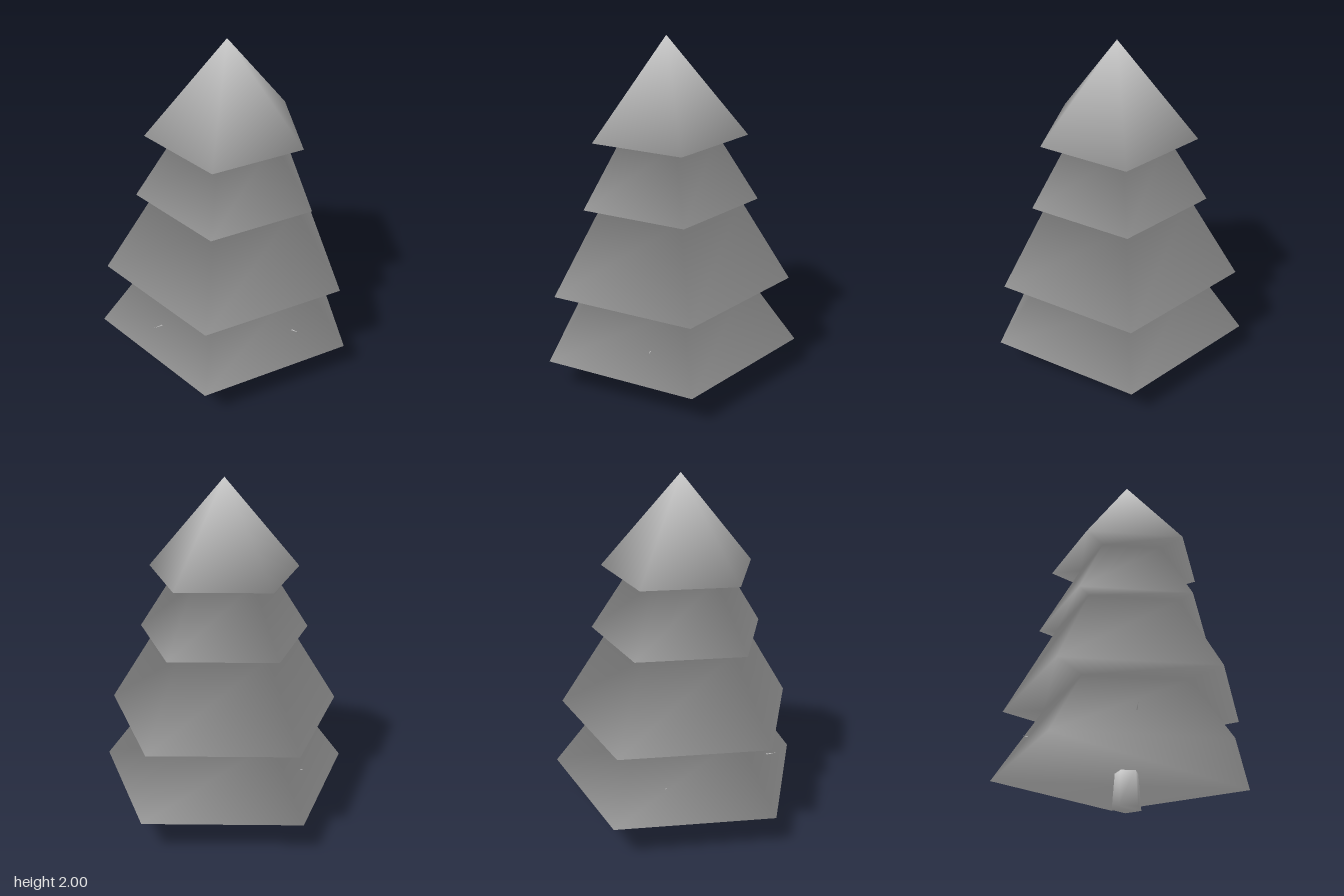
import * as THREE from 'three';

const SIDES = 5;
const CENTRE_Z = 0.073; // axis sits forward so the pentagon's bounds are centred

// Closed, smooth solid from polygons; normals are weighted by corner angle
function smoothSolid(points, faces) {
  const normals = points.map(() => new THREE.Vector3());
  const index = [];
  for (const face of faces) {
    const corner = (i) => points[face[(i + face.length) % face.length]];
    const edge = (i, j) => corner(j).clone().sub(corner(i));
    const normal = edge(0, 1).cross(edge(0, 2)).normalize();
    face.forEach((v, i) => {
      normals[v].addScaledVector(normal, edge(i, i + 1).angleTo(edge(i, i - 1)));
      if (i > 1) index.push(face[0], face[i - 1], v);
    });
  }
  const geometry = new THREE.BufferGeometry().setFromPoints(points);
  const flat = normals.flatMap((n) => n.normalize().toArray());
  geometry.setAttribute('normal', new THREE.Float32BufferAttribute(flat, 3));
  geometry.setIndex(index);
  return geometry;
}

// Pentagonal rings stacked from [radius, height] pairs, one corner to the back;
// a last radius of 0 makes a tip, otherwise the top is capped
function pentagonStack(profile) {
  const points = [];
  const faces = [];
  const at = (k, j) => k * SIDES + (profile[k][0] === 0 ? 0 : j % SIDES);
  const ring = (k) => Array.from({ length: SIDES }, (_, j) => at(k, j));

  profile.forEach(([r, y], k) => {
    for (let j = 0; j < (r === 0 ? 1 : SIDES); j++) {
      const a = Math.PI + (j / SIDES) * Math.PI * 2;
      points.push(new THREE.Vector3(r * Math.sin(a), y, r * Math.cos(a)));
    }
    if (k === 0) return;
    for (let j = 0; j < SIDES; j++) {
      faces.push([...new Set([at(k - 1, j), at(k - 1, j + 1), at(k, j + 1), at(k, j)])]);
    }
  });

  faces.push(ring(0).reverse());
  const last = profile.length - 1;
  if (profile[last][0] > 0) faces.push(ring(last));
  return smoothSolid(points, faces);
}

export function createModel() {
  const tree = new THREE.Group();
  tree.name = 'pineTree';
  const material = new THREE.MeshStandardMaterial({ color: 0xcccccc });

  const add = (name, geometry) => {
    const mesh = new THREE.Mesh(geometry, material);
    mesh.name = name;
    tree.add(mesh);
    return mesh;
  };

  // Trunk, tapering upwards into the foliage
  add('trunk', pentagonStack([[0.083, 0], [0.066, 0.21]])).position.z = CENTRE_Z;

  // Foliage: four stacked skirts in one continuous skin
  add('foliage', pentagonStack([
    [0.763, 0.197],
    [0.475, 0.588], [0.713, 0.597],
    [0.42, 1.073], [0.518, 1.082],
    [0.28, 1.458], [0.454, 1.458],
    [0, 2],
  ])).position.z = CENTRE_Z;

  // Tiny twigs poking out of the lowest skirt
  const twig = (name, base, tip) => {
    const from = new THREE.Vector3(...base);
    const to = new THREE.Vector3(...tip);
    const dir = to.clone().sub(from);
    const mesh = add(name, new THREE.ConeGeometry(0.006, dir.length(), 5));
    mesh.position.copy(from).add(to).multiplyScalar(0.5);
    mesh.quaternion.setFromUnitVectors(new THREE.Vector3(0, 1, 0), dir.normalize());
  };
  twig('frontTwig', [-0.015, 0.35, 0.56], [-0.015, 0.375, 0.65]);
  twig('leftTwig', [0.51, 0.355, 0.09], [0.59, 0.375, 0.09]);
  twig('rightTwig', [-0.5, 0.36, 0.09], [-0.56, 0.378, 0.09]);

  return tree;
}
